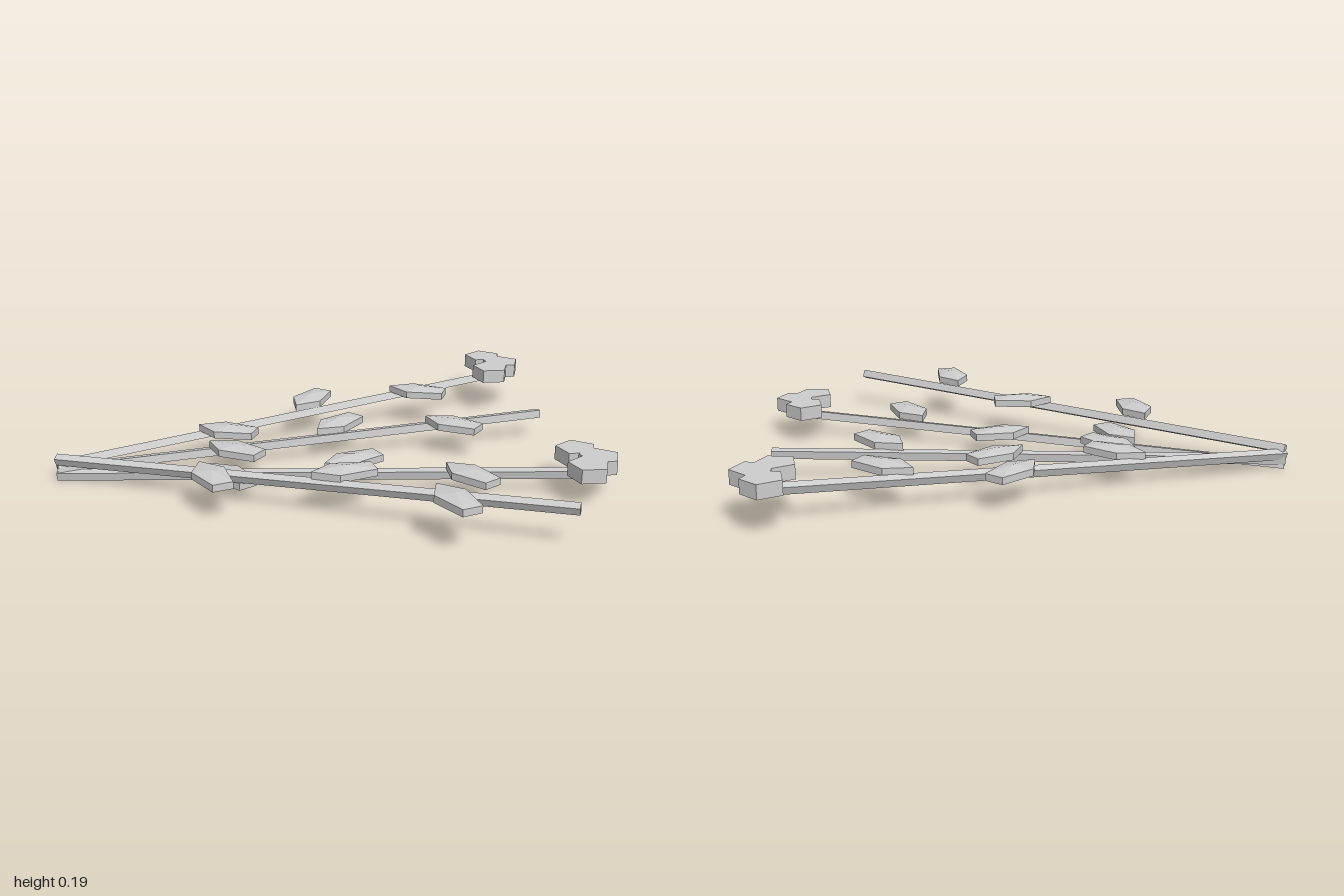
import * as THREE from 'three';

export function createModel() {
  const model = new THREE.Group();
  model.name = 'floweringTwigs';

  const grey = new THREE.MeshStandardMaterial({ color: 0xcccccc, flatShading: true });
  grey.name = 'pale grey';

  // Shared low-poly shapes
  const leafGeometry = new THREE.SphereGeometry(1, 5, 3).scale(0.145, 0.026, 0.073);
  const petalGeometry = new THREE.CylinderGeometry(0.075, 0.075, 0.052, 5).rotateY(Math.PI);
  const up = new THREE.Vector3(0, 1, 0);

  function addMesh(parent, name, geometry, position) {
    const mesh = new THREE.Mesh(geometry, grey);
    mesh.name = name;
    mesh.position.copy(position);
    parent.add(mesh);
    return mesh;
  }

  // Each twig fans out from the same root, stacked a little higher than the last
  const twigs = [
    { x: 0.865, z: 0.36, flower: true },
    { x: 0.87, z: -0.23, flower: false },
    { x: 0.75, z: -0.67, flower: true },
    { x: 0.73, z: 0.805, flower: false },
  ];
  // Position along the twig and angle away from it
  const leaves = [[0.3, -0.8], [0.52, 0.6], [0.75, -0.8]];
  const petals = [[0.005, -0.08], [0.065, 0.01], [0.005, 0.08]];

  twigs.forEach(({ x, z, flower }, i) => {
    const twig = new THREE.Group();
    twig.name = 'twig' + (i + 1);
    model.add(twig);

    const start = new THREE.Vector3(-0.99, 0.02 + i * 0.02, 0.035);
    const end = new THREE.Vector3(x, 0.08 + i * 0.02, z);
    const along = end.clone().sub(start);

    // Square stem
    const stem = addMesh(twig, 'stem', new THREE.BoxGeometry(0.03, along.length(), 0.03),
      start.clone().lerp(end, 0.5));
    stem.quaternion.setFromUnitVectors(up, along.clone().normalize());

    // Leaves, each with its base point on the stem
    const yaw = Math.atan2(-along.z, along.x);
    for (const [t, angle] of leaves) {
      const turn = yaw + angle;
      const position = start.clone().lerp(end, t);
      position.add(new THREE.Vector3(Math.cos(turn) * 0.122, 0.03, -Math.sin(turn) * 0.122));
      addMesh(twig, 'leaf', leafGeometry, position).rotation.y = turn;
    }

    // Three overlapping petals at the tip
    if (flower) {
      const blossom = new THREE.Group();
      blossom.name = 'blossom';
      blossom.position.copy(end).y += 0.042;
      twig.add(blossom);
      for (const [px, pz] of petals) {
        addMesh(blossom, 'petal', petalGeometry, new THREE.Vector3(px, 0, pz));
      }
    }
  });

  return model;
}
